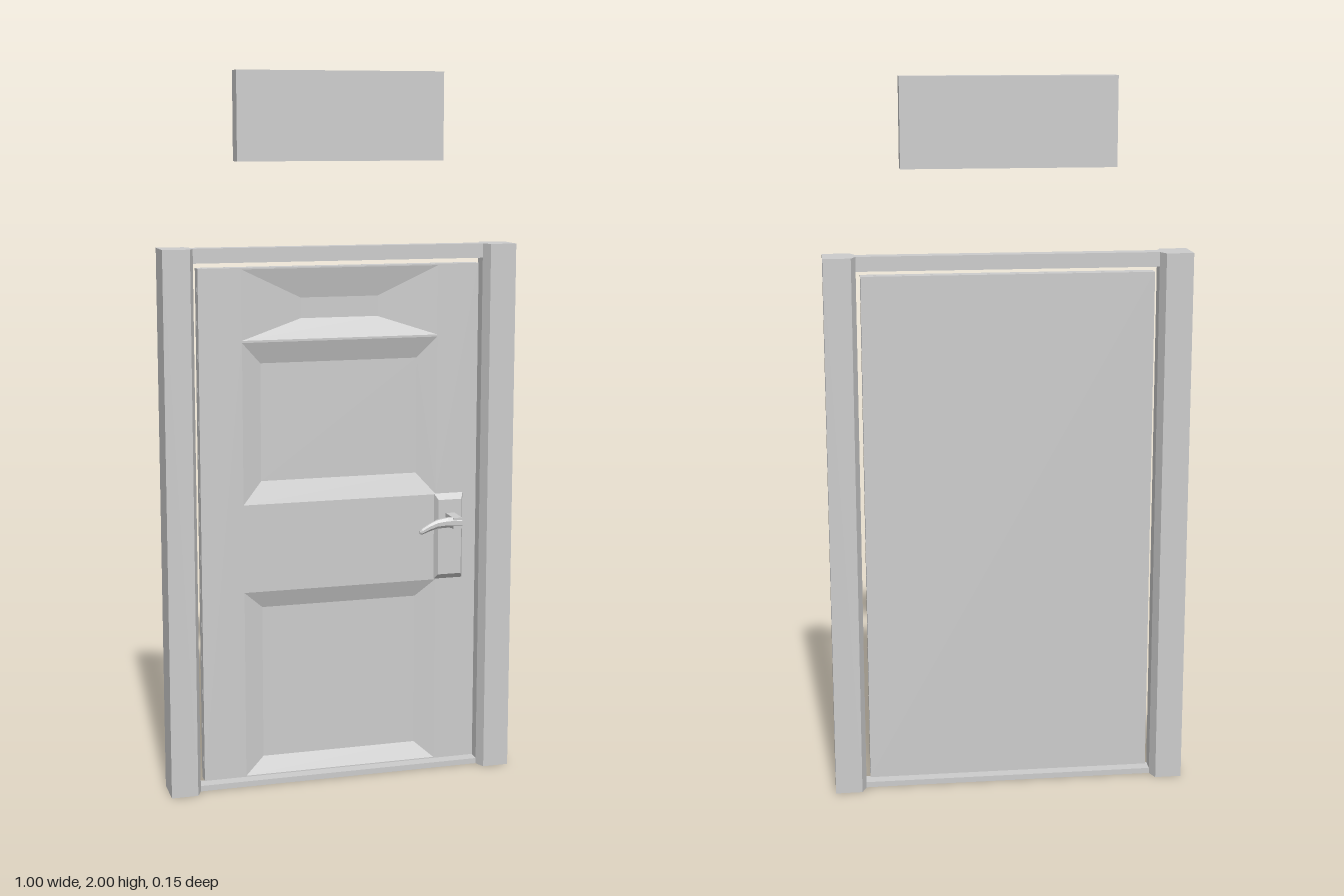
import * as THREE from 'three';

const material = new THREE.MeshStandardMaterial({ color: 0xcccccc, flatShading: true });

function add(parent, name, geometry, x = 0, y = 0, z = 0) {
  const mesh = new THREE.Mesh(geometry, material);
  mesh.name = name;
  mesh.position.set(x, y, z);
  parent.add(mesh);
  return mesh;
}

// Box given by its minimum and maximum corners
function addBox(parent, name, [x0, y0, z0], [x1, y1, z1]) {
  return add(parent, name, new THREE.BoxGeometry(x1 - x0, y1 - y0, z1 - z0),
    (x0 + x1) / 2, (y0 + y1) / 2, (z0 + z1) / 2);
}

// Skin over rings of points, each counter-clockwise seen against the direction of travel
function loft(rings, startCap = true) {
  const n = rings[0].length;
  const index = [];
  for (let r = 0; r < rings.length - 1; r++) {
    for (let i = 0; i < n; i++) {
      const j = (i + 1) % n;
      const a = r * n + i, b = r * n + j, c = a + n, d = b + n;
      index.push(a, b, d, a, d, c);
    }
  }
  const last = (rings.length - 1) * n;
  for (let i = 1; i < n - 1; i++) {
    index.push(last, last + i, last + i + 1);
    if (startCap) index.push(0, i + 1, i);
  }
  const geometry = new THREE.BufferGeometry();
  geometry.setAttribute('position', new THREE.Float32BufferAttribute(rings.flat(2), 3));
  geometry.setIndex(index);
  const flat = geometry.toNonIndexed();
  flat.computeVertexNormals();
  return flat;
}

const rect = (x0, x1, y0, y1, z) => [[x0, y0, z], [x1, y0, z], [x1, y1, z], [x0, y1, z]];

function polygon(points, Type = THREE.Shape) {
  return new Type(points.map(([x, y]) => new THREE.Vector2(x, y)));
}

function createFrame() {
  const frame = new THREE.Group();
  frame.name = 'frame';
  // Posts: plan outline with chamfered inner corners, raised to full height
  const outline = [[0.412, 0.01], [0.425, -0.02], [0.5, -0.02], [0.5, 0.08], [0.425, 0.08], [0.412, 0.05]];
  for (const side of [1, -1]) {
    const shape = polygon(outline.map(([x, z]) => [x * side, z]));
    const geometry = new THREE.ExtrudeGeometry(shape, { depth: 1.53, bevelEnabled: false });
    geometry.rotateX(-Math.PI / 2);
    add(frame, side > 0 ? 'leftPost' : 'rightPost', geometry);
  }
  addBox(frame, 'lintel', [-0.412, 1.49, -0.05], [0.412, 1.53, -0.01]);
  addBox(frame, 'sill', [-0.412, 0, -0.05], [0.412, 0.016, -0.01]);
  return frame;
}

function createDoor() {
  const door = new THREE.Group();
  door.name = 'door';
  const front = -0.01, floor = -0.03;
  // Panels: outer bottom/top, inner bottom/top, inner half width
  const panels = [
    [1.278, 1.472, 1.333, 1.39, 0.11],
    [0.82, 1.272, 0.882, 1.212, 0.225],
    [0.033, 0.57, 0.08, 0.52, 0.225],
  ];
  const half = 0.28;

  // Front layer with an opening for each panel, over a solid back layer
  const face = polygon(rect(-0.4, 0.4, 0.03, 1.476, 0));
  for (const [y0, y1] of panels) {
    face.holes.push(polygon(rect(-half, half, y0, y1, 0).reverse(), THREE.Path));
  }
  add(door, 'doorFace', new THREE.ExtrudeGeometry(face, { depth: front - floor, bevelEnabled: false }), 0, 0, floor);
  addBox(door, 'doorBack', [-0.4, 0.03, -0.048], [0.4, 1.476, floor - 0.001]);

  // Sloping recesses
  for (const [y0, y1, in0, in1, w] of panels) {
    add(door, 'recessedPanel', loft([rect(-half, half, y0, y1, front), rect(-w, w, in0, in1, floor)], false));
  }
  return door;
}

function createHandle() {
  const handle = new THREE.Group();
  handle.name = 'handle';
  add(handle, 'backPlate', loft([
    rect(0.275, 0.36, 0.572, 0.822, -0.01),
    rect(0.283, 0.352, 0.588, 0.806, 0.006),
  ]));
  addBox(handle, 'stem', [0.305, 0.735, 0], [0.331, 0.767, 0.073]);

  // Lever stations: x, centre y, centre z, half height, half depth
  const stations = [
    [0.331, 0.751, 0.063, 0.016, 0.012],
    [0.29, 0.753, 0.063, 0.014, 0.011],
    [0.26, 0.75, 0.063, 0.012, 0.009],
    [0.235, 0.741, 0.063, 0.01, 0.008],
    [0.215, 0.731, 0.063, 0.008, 0.007],
    [0.209, 0.729, 0.063, 0.004, 0.004],
  ];
  const rings = stations.map(([x, y, z, ry, rz]) => Array.from({ length: 8 }, (_, i) => {
    const t = (i + 0.5) * Math.PI / 4;
    return [x, y + 1.08 * ry * Math.sin(t), z + 1.08 * rz * Math.cos(t)];
  }));
  add(handle, 'lever', loft(rings));
  return handle;
}

export function createModel() {
  const model = new THREE.Group();
  model.name = 'framedDoor';
  model.add(createFrame(), createDoor(), createHandle());
  addBox(model, 'signBoard', [-0.29, 1.76, -0.055], [0.29, 2, -0.003]);
  return model;
}
